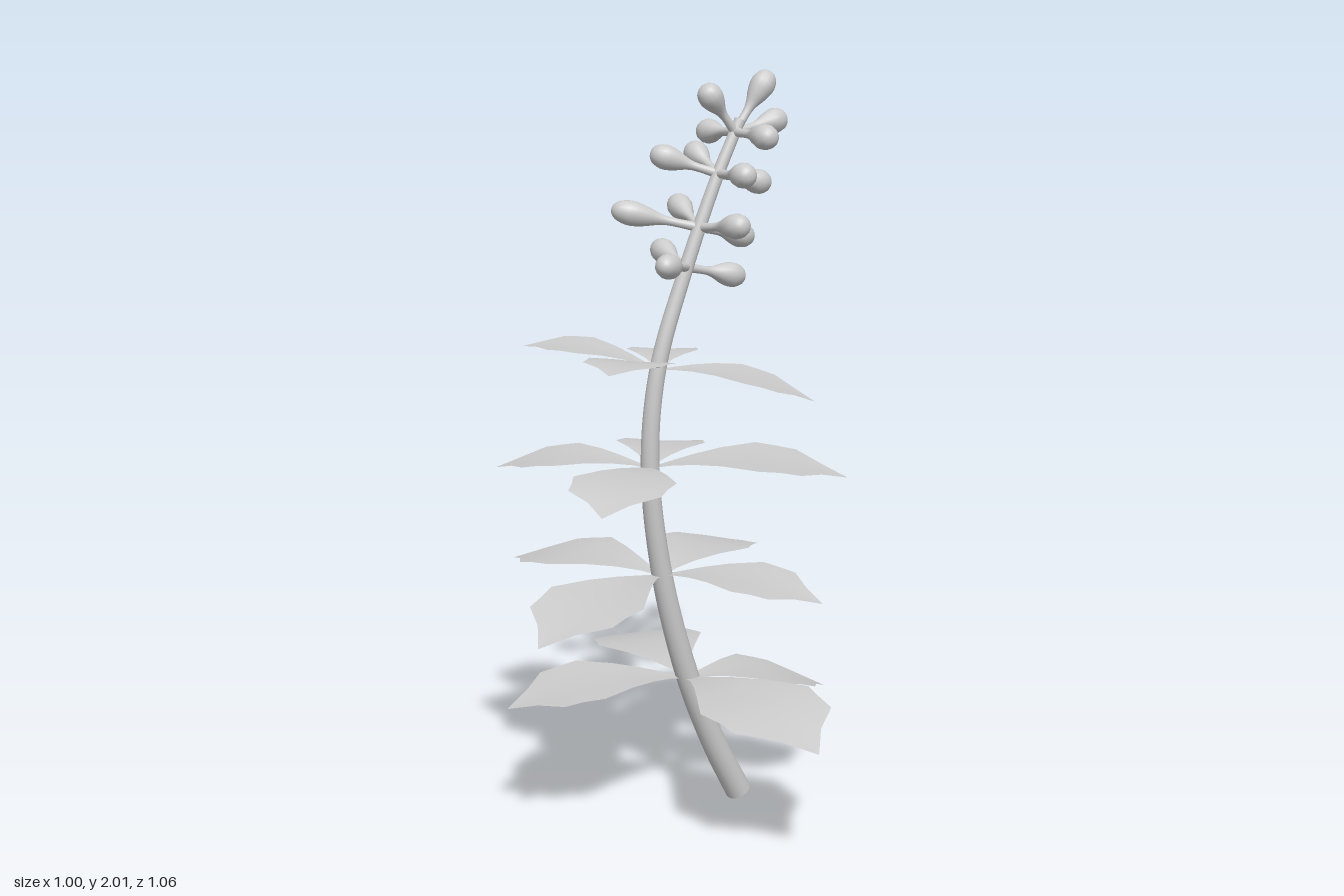
import * as THREE from 'three';

const V = (x, y, z) => new THREE.Vector3(x, y, z);
const STEM_Z = -0.04;

const stemCurve = new THREE.CatmullRomCurve3([
  [0.225, 0.015], [0.14, 0.18], [0.05, 0.4], [-0.03, 0.7], [-0.065, 1.0],
  [-0.04, 1.25], [0.045, 1.5], [0.145, 1.74], [0.2, 1.85], [0.215, 1.88],
].map(([x, y]) => V(x, y, STEM_Z)));

// Tapered stem with a closed foot
function makeStem(material) {
  const rows = 60, sides = 16;
  const radius = t => 0.036 - 0.021 * t;
  const geo = new THREE.TubeGeometry(stemCurve, rows, 1, sides);
  const pos = geo.attributes.position;
  const p = V(0, 0, 0);
  for (let i = 0; i < pos.count; i++) {
    const t = Math.floor(i / (sides + 1)) / rows;
    const c = stemCurve.getPointAt(t);
    p.fromBufferAttribute(pos, i).sub(c).multiplyScalar(radius(t)).add(c);
    pos.setXYZ(i, p.x, p.y, p.z);
  }
  const stem = new THREE.Group();
  stem.name = 'stem';
  const tube = new THREE.Mesh(geo, material);
  tube.name = 'stemTube';
  const foot = new THREE.Mesh(new THREE.CircleGeometry(radius(0), sides), material);
  foot.name = 'stemFoot';
  foot.position.copy(stemCurve.getPointAt(0));
  foot.quaternion.setFromUnitVectors(V(0, 0, 1), stemCurve.getTangentAt(0).negate());
  stem.add(tube, foot);
  return stem;
}

// Half width of a leaf along its length, both as fractions of the length
const LEAF_OUTLINE = [
  [0, 0.015], [0.1, 0.05], [0.22, 0.115], [0.36, 0.2], [0.54, 0.31],
  [0.65, 0.285], [0.75, 0.275], [0.86, 0.125], [1, 0],
];

// Arched, angular leaf reaching from base to tip
function leafGeometry(base, tip) {
  const span = V(tip.x - base.x, 0, tip.z - base.z);
  const length = span.length();
  const side = V(span.z, 0, -span.x).normalize();
  const cols = 4, verts = [], index = [];
  LEAF_OUTLINE.forEach(([u, w], row) => {
    for (let c = 0; c <= cols; c++) {
      const s = (c / cols) * 2 - 1;
      const p = base.clone().lerp(tip, u);
      p.addScaledVector(side, s * w * length);
      p.y += 0.3 * length * u * (1 - u) + 0.04 * length * Math.abs(s) * w;
      verts.push(p.x, p.y, p.z);
      if (row && c) {
        const d = row * (cols + 1) + c, b = d - cols - 1;
        index.push(b - 1, b, d, b - 1, d, d - 1);
      }
    }
  });
  const geo = new THREE.BufferGeometry();
  geo.setAttribute('position', new THREE.Float32BufferAttribute(verts, 3));
  geo.setIndex(index);
  geo.computeVertexNormals();
  return geo;
}

// Leaf whorls: joint on the stem, then the four leaf tips
const WHORLS = [
  { joint: [0.05, 0.385], tips: [[0.07, 0.35, 0.53], [0.5, 0.28, -0.01], [0.15, 0.35, -0.53], [-0.43, 0.35, -0.18]] },
  { joint: [-0.03, 0.69], tips: [[0.235, 0.66, 0.32], [0.365, 0.67, -0.27], [-0.23, 0.66, -0.49], [-0.5, 0.62, 0.12]] },
  { joint: [-0.065, 0.99], tips: [[0.365, 0.965, 0.25], [0.19, 0.965, -0.34], [-0.36, 0.97, -0.34], [-0.39, 0.97, 0.25]] },
  { joint: [-0.04, 1.25], tips: [[0.3, 1.165, 0.19], [0.15, 1.24, -0.29], [-0.3, 1.3, -0.29], [-0.33, 1.305, 0.19]] },
];

// Bud clusters: joint on the stem, then the bud tips
const CLUSTERS = [
  { joint: [0.05, 1.51], tips: [[-0.12, 1.545, 0.11], [0.08, 1.54, -0.23], [0.23, 1.47, -0.04]] },
  { joint: [0.09, 1.61], tips: [[-0.11, 1.66, -0.15], [0.12, 1.63, 0.13], [0.13, 1.66, -0.22], [0.27, 1.57, -0.06]] },
  { joint: [0.148, 1.745], tips: [[0.0, 1.8, -0.135], [0.13, 1.755, 0.13], [0.16, 1.8, -0.19], [0.31, 1.71, -0.04]] },
  { joint: [0.2, 1.85], tips: [[0.1, 1.97, -0.04], [0.2, 1.845, 0.13], [0.21, 1.84, -0.21], [0.36, 1.88, -0.04], [0.31, 2.0, -0.04]] },
];

// Club-shaped bud on a thin stalk, one unit long
function budGeometry() {
  const profile = new THREE.SplineCurve([
    [0.013, 0], [0.011, 0.3], [0.015, 0.45], [0.027, 0.62],
    [0.033, 0.78], [0.026, 0.92], [0.013, 0.985], [0, 1],
  ].map(([r, y]) => new THREE.Vector2(r, y))).getPoints(20);
  profile.forEach(p => { p.x = Math.max(p.x, 0); });
  return new THREE.LatheGeometry(profile, 14);
}

export function createModel() {
  const grey = new THREE.MeshStandardMaterial({ color: 0xcccccc });
  const thin = new THREE.MeshStandardMaterial({ color: 0xcccccc, side: THREE.DoubleSide });
  const model = new THREE.Group();
  model.name = 'floweringPlant';
  model.add(makeStem(grey));

  WHORLS.forEach(({ joint, tips }) => {
    const whorl = new THREE.Group();
    whorl.name = 'leafWhorl';
    for (const tip of tips) {
      const leaf = new THREE.Mesh(leafGeometry(V(...joint, STEM_Z), V(...tip)), thin);
      leaf.name = 'leaf';
      whorl.add(leaf);
    }
    model.add(whorl);
  });

  const budShape = budGeometry();
  CLUSTERS.forEach(({ joint, tips }) => {
    const cluster = new THREE.Group();
    cluster.name = 'budCluster';
    for (const tip of tips) {
      const base = V(...joint, STEM_Z);
      const axis = V(...tip).sub(base);
      const bud = new THREE.Mesh(budShape, grey);
      bud.name = 'bud';
      bud.position.copy(base);
      bud.scale.y = axis.length();
      bud.quaternion.setFromUnitVectors(V(0, 1, 0), axis.normalize());
      cluster.add(bud);
    }
    model.add(cluster);
  });
  return model;
}
